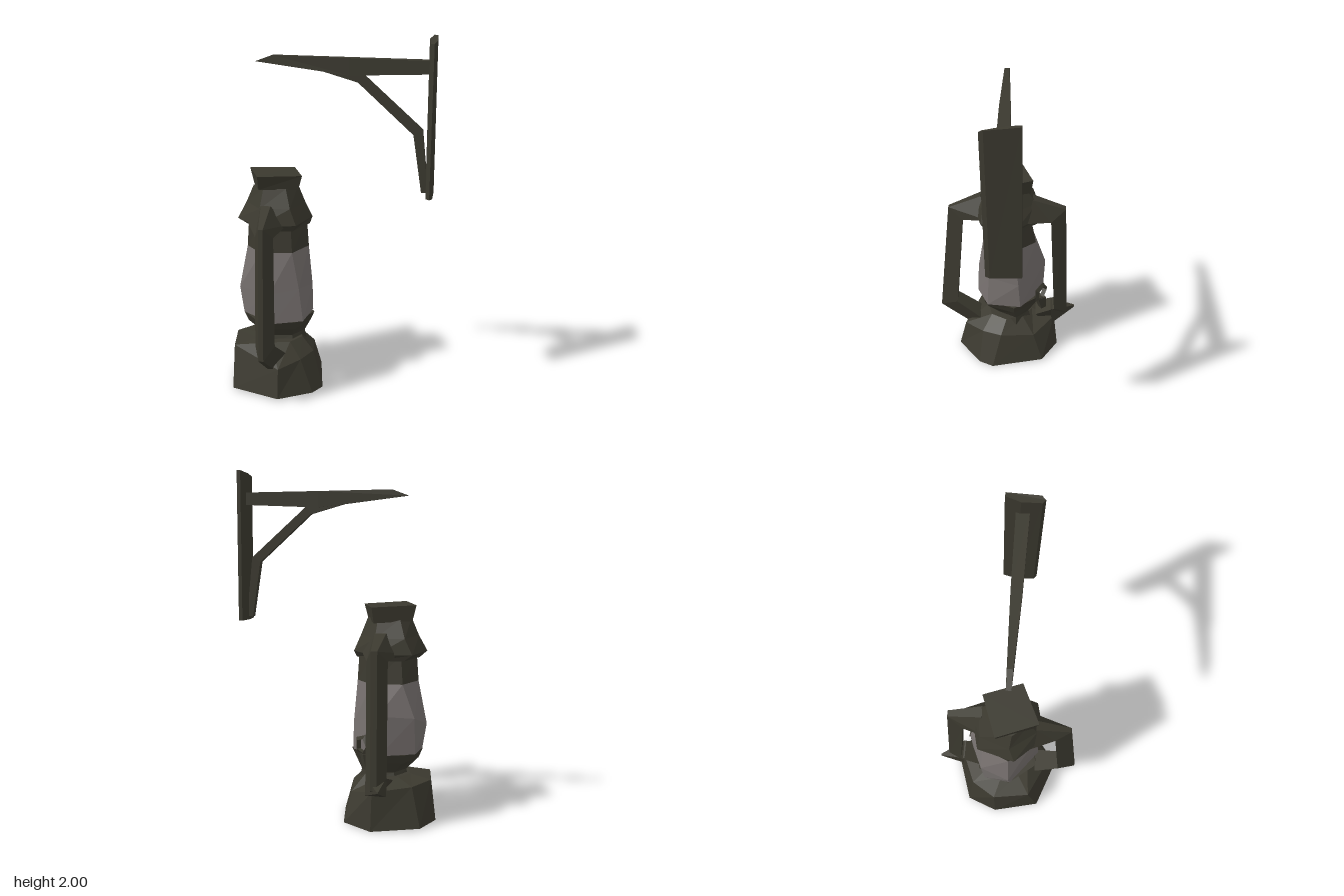
import * as THREE from 'three';

const metal = new THREE.MeshStandardMaterial({ color: 0x3b392f });
metal.name = 'darkMetal';
const glass = new THREE.MeshStandardMaterial({ color: 0x77716f });
glass.name = 'smokyGlass';
for (const m of [metal, glass]) m.flatShading = true;

// Skin a list of rings (each a list of [x, y, z]) and close both ends
function loft(name, rings, material = metal) {
  const n = rings[0].length, pos = [];
  const tri = (a, b, c) => pos.push(...a, ...b, ...c);
  for (let r = 0; r < rings.length - 1; r++) {
    const a = rings[r], b = rings[r + 1];
    for (let i = 0; i < n; i++) {
      const j = (i + 1) % n;
      tri(a[i], b[i], a[j]);
      tri(a[j], b[i], b[j]);
    }
  }
  const lo = rings[0], hi = rings[rings.length - 1];
  for (let i = 1; i < n - 1; i++) {
    tri(lo[0], lo[i], lo[i + 1]);
    tri(hi[0], hi[i + 1], hi[i]);
  }
  const g = new THREE.BufferGeometry();
  g.setAttribute('position', new THREE.Float32BufferAttribute(pos, 3));
  g.computeVertexNormals();
  const mesh = new THREE.Mesh(g, material);
  mesh.name = name;
  return mesh;
}

// Horizontal polygon ring
function ring(y, rx, rz, cx = -0.28, cz = -0.01, phase = 0.2, n = 6) {
  return Array.from({ length: n }, (_, i) => {
    const t = phase + (i / n) * Math.PI * 2;
    return [cx + rx * Math.cos(t), y, cz + rz * Math.sin(t)];
  });
}

// Mitred bar along a path; side is its horizontal width direction, sizes lists
// [half width, half depth] per point, edge narrows its outer face
function bar(name, path, side, sizes, edge = 1) {
  const p = path.map(a => new THREE.Vector3(...a));
  const s = new THREE.Vector3(...side).normalize();
  const rings = p.map((c, i) => {
    const before = p[i].clone().sub(p[Math.max(i - 1, 0)]).normalize();
    const after = p[Math.min(i + 1, p.length - 1)].clone().sub(p[i]).normalize();
    const d = before.clone().add(after).normalize();
    const miter = 1 / Math.max(0.7, d.dot(i ? before : after));
    const v = s.clone().cross(d).normalize();
    const [w, h] = sizes[i];
    return [[edge, -1], [1, 1], [-1, 1], [-edge, -1]].map(([a, b]) =>
      c.clone().addScaledVector(s, a * w).addScaledVector(v, b * h * miter).toArray());
  });
  return loft(name, rings);
}

export function createModel() {
  const model = new THREE.Group();
  model.name = 'wallLantern';
  const lantern = new THREE.Group();
  lantern.name = 'lantern';
  const bracket = new THREE.Group();
  bracket.name = 'wallBracket';
  model.add(lantern, bracket);

  // Faceted fuel tank
  lantern.add(loft('fuelTank', [
    [[-0.01, 0.01, -0.13], [-0.06, 0, 0.18], [-0.13, 0, 0.245], [-0.34, 0.01, 0.31],
      [-0.57, 0.01, 0.12], [-0.54, 0.01, -0.15], [-0.42, 0.01, -0.29], [-0.14, 0, -0.28]],
    [[-0.06, 0.18, -0.09], [-0.1, 0.2, 0.11], [-0.19, 0.19, 0.2], [-0.33, 0.17, 0.27],
      [-0.55, 0.25, 0.06], [-0.51, 0.25, -0.15], [-0.38, 0.24, -0.25], [-0.15, 0.22, -0.26]],
    ring(0.27, 0.14, 0.14, -0.28, -0.01, -0.3, 8),
  ]));

  // Burner between tank and glass
  lantern.add(loft('burner', [
    ring(0.24, 0.14, 0.12, -0.26, -0.02),
    ring(0.29, 0.13, 0.1, -0.26, -0.02),
    ring(0.355, 0.18, 0.17),
    ring(0.41, 0.205, 0.2),
  ]));

  // Glass chimney, wide at the bottom, and its dark upper part
  const chimneyTop = ring(0.81, 0.175, 0.165, -0.28, -0.015);
  lantern.add(loft('glassChimney', [
    [[-0.08, 0.41, -0.01], [-0.17, 0.41, 0.17], [-0.34, 0.41, 0.18],
      [-0.48, 0.41, -0.04], [-0.41, 0.41, -0.18], [-0.2, 0.41, -0.2]],
    [[-0.085, 0.57, 0], [-0.19, 0.6, 0.155], [-0.36, 0.58, 0.165],
      [-0.5, 0.56, -0.06], [-0.4, 0.62, -0.2], [-0.19, 0.64, -0.21]],
    chimneyTop,
  ], glass));
  lantern.add(loft('chimneyCollar', [chimneyTop, ring(0.97, 0.165, 0.135)]));

  // Hood with flared brim, and the square lid on top
  lantern.add(loft('hood', [
    ring(0.945, 0.18, 0.19),
    ring(0.98, 0.21, 0.22, -0.295, -0.01, 0.1),
    ring(1.07, 0.165, 0.185, -0.29, -0.01),
    ring(1.17, 0.125, 0.115, -0.29, 0),
  ]));
  lantern.add(loft('lid', [
    [[-0.18, 1.15, -0.11], [-0.18, 1.16, 0.1], [-0.4, 1.17, 0.1], [-0.4, 1.16, -0.11]],
    [[-0.165, 1.24, -0.12], [-0.16, 1.24, 0.11], [-0.41, 1.25, 0.13], [-0.42, 1.25, -0.12]],
  ]));

  // Side frame tubes with a sharp outer edge, front and back
  lantern.add(bar('frontFrameTube',
    [[-0.36, 1.03, 0.12], [-0.405, 0.975, 0.285], [-0.42, 0.31, 0.345], [-0.35, 0.19, 0.19]],
    [0.94, 0, 0.34], [[0.11, 0.06], [0.05, 0.045], [0.055, 0.05], [0.07, 0.05]], 0.25));
  lantern.add(bar('backFrameTube',
    [[-0.22, 1.04, -0.12], [-0.165, 0.99, -0.28], [-0.16, 0.28, -0.305], [-0.21, 0.22, -0.18]],
    [-0.94, 0, -0.34], [[0.11, 0.06], [0.06, 0.045], [0.06, 0.04], [0.07, 0.05]], 0.3));
  lantern.add(bar('backFrameSpur',
    [[-0.175, 0.25, -0.25], [-0.16, 0.26, -0.4]], [0.94, 0, 0.34],
    [[0.06, 0.055], [0.005, 0.005]]));

  // Wick knob: an open angular loop on a small foot
  const knob = new THREE.Mesh(new THREE.TorusGeometry(0.05, 0.016, 3, 5), metal);
  knob.name = 'wickKnob';
  knob.position.set(-0.115, 0.465, -0.155);
  knob.rotation.y = Math.PI * 0.68;
  lantern.add(knob, loft('wickKnobFoot', [
    ring(0.33, 0.025, 0.025, -0.14, -0.175, 0.5, 4),
    ring(0.42, 0.03, 0.04, -0.125, -0.155, 0.5, 4),
  ]));

  // Wall plate
  const plate = (y, tilt, dz) => [[0.565, y + tilt, 0.2], [0.51, y, 0.37 - dz],
    [0.488, y - tilt, 0.387 - dz], [0.475, y - tilt, 0.365 - dz], [0.5, y, 0.26],
    [0.545, y + tilt, 0.19]];
  bracket.add(loft('wallPlate', [plate(1.14, 0, 0.015), plate(1.985, 0.015, 0)]));

  // Tapering arm and the cranked brace below it
  const arm = (x, y0, y1, w, lean = 0) => {
    const z = 0.095 + 0.355 * x, dx = w * 0.335, dz = w * 0.94;
    return [[x - dx + lean, y1, z + dz + lean * 0.355], [x - dx, y0, z + dz],
      [x + dx, y0, z - dz], [x + dx + lean, y1, z - dz + lean * 0.355]].reverse();
  };
  bracket.add(loft('arm', [arm(0.52, 1.805, 1.875, 0.036), arm(0.1, 1.79, 1.882, 0.03),
    arm(-0.385, 1.855, 1.89, 0.014, 0.09)].map(r => r.reverse())));
  const on = (x, y) => [x, y, 0.095 + 0.355 * x];
  bracket.add(bar('brace',
    [on(-0.04, 1.83), on(0.155, 1.775), on(0.452, 1.49), on(0.492, 1.16)],
    [-0.335, 0, 0.94], [[0.02, 0.02], [0.02, 0.025], [0.022, 0.026], [0.02, 0.018]]));

  return model;
}
